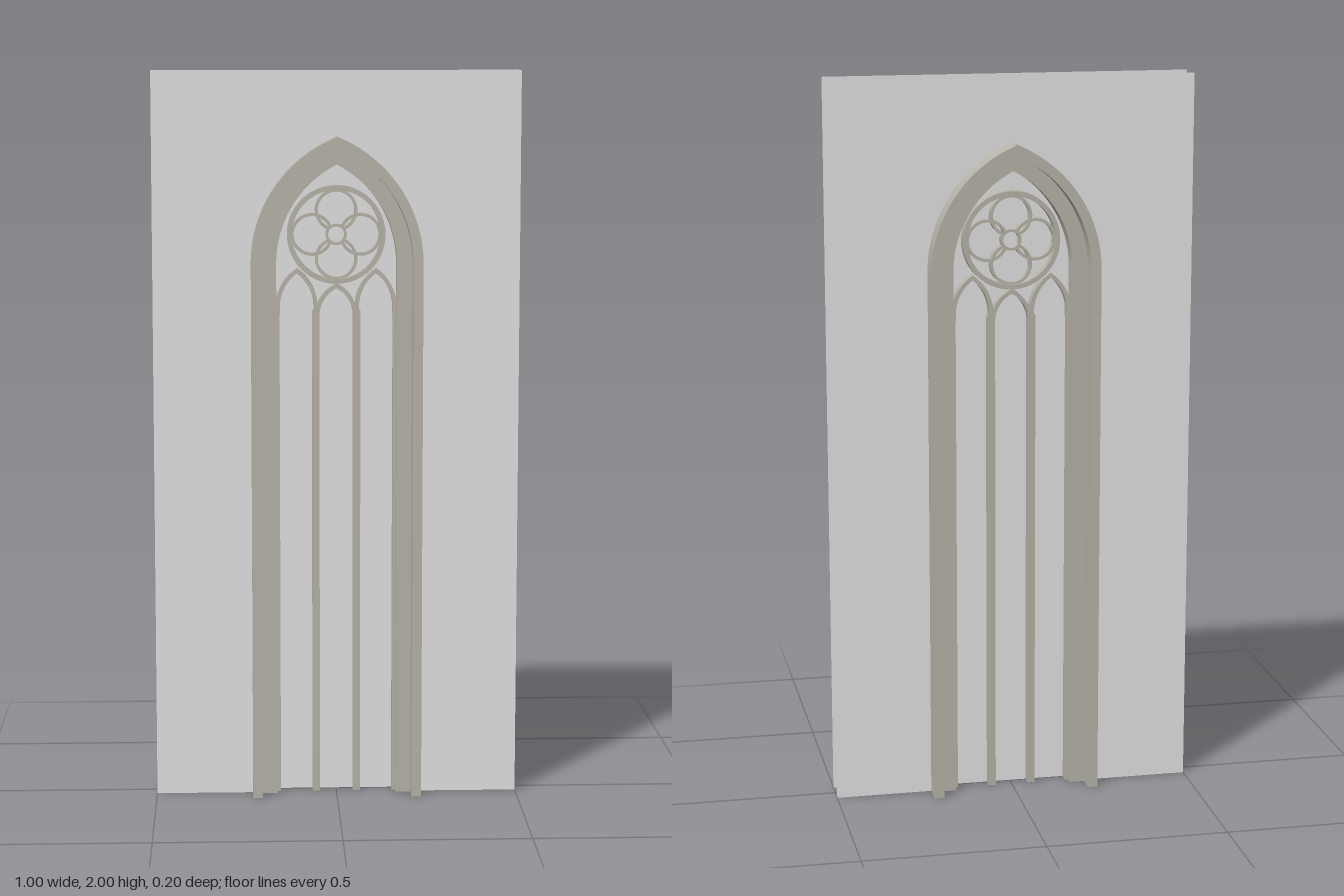
import * as THREE from 'three';
import { toCreasedNormals } from 'three/addons/utils/BufferGeometryUtils.js';

const stone = new THREE.MeshStandardMaterial({ color: 0xb9b5aa });
stone.name = 'stone';
const panel = new THREE.MeshStandardMaterial({ color: 0xe4e4e4, side: THREE.DoubleSide });
panel.name = 'panel grey';

const SPRING = 1.48; // height where the main arch begins to curve
const OFFSET = 0.136; // distance of the main arc centres from the axis

// Extrudes a shape symmetrically about z = 0, leaving it open at the ground
function slab(name, shape, halfDepth, segments = 20) {
  const g = new THREE.ExtrudeGeometry(shape, {
    depth: halfDepth * 2, bevelEnabled: false, curveSegments: segments,
  });
  g.translate(0, 0, -halfDepth);
  const p = g.getAttribute('position').array;
  const kept = [];
  for (let i = 0; i < p.length; i += 9) {
    if (Math.max(p[i + 1], p[i + 4], p[i + 7]) > 1e-6 || shape.closedFoot) kept.push(...p.slice(i, i + 9));
  }
  const open = new THREE.BufferGeometry();
  open.setAttribute('position', new THREE.Float32BufferAttribute(kept, 3));
  const mesh = new THREE.Mesh(toCreasedNormals(open, 0.5), stone);
  mesh.name = name;
  return mesh;
}

// Adds a pointed arch to a path, from the left foot over the apex to the right foot
function archOver(path, cx, w, off, base, spring) {
  const r = w + off;
  const a = Math.acos(off / r);
  path.lineTo(cx - w, base);
  path.lineTo(cx - w, spring);
  path.absarc(cx + off, spring, r, Math.PI, Math.PI - a, true);
  path.absarc(cx - off, spring, r, a, 0, true);
  path.lineTo(cx + w, base);
}

// The same from the right foot to the left foot
function archBack(path, cx, w, off, base, spring) {
  const r = w + off;
  const a = Math.acos(off / r);
  path.moveTo(cx + w, base);
  path.lineTo(cx + w, spring);
  path.absarc(cx - off, spring, r, 0, a, false);
  path.absarc(cx + off, spring, r, Math.PI - a, Math.PI, false);
  path.lineTo(cx - w, base);
}

// Band between two concentric pointed arches
function archBand(cx, w, thickness, off, base, spring) {
  const s = new THREE.Shape();
  archBack(s, cx, w, off, base, spring);
  archOver(s, cx, w - thickness, off, base, spring);
  return s;
}

function bar(x0, x1, top) {
  return new THREE.Shape([
    new THREE.Vector2(x0, 0), new THREE.Vector2(x1, 0),
    new THREE.Vector2(x1, top), new THREE.Vector2(x0, top),
  ]);
}

function ring(outer, inner) {
  const s = new THREE.Shape();
  s.absarc(0, 0, outer, 0, Math.PI * 2, false);
  const hole = new THREE.Path();
  hole.absarc(0, 0, inner, 0, Math.PI * 2, true);
  s.holes.push(hole);
  return s;
}

// Ring with a gap of 2 * gap radians, centred on the direction opposite to angle
function openRing(x, y, outer, inner, angle, gap) {
  const from = angle - Math.PI + gap;
  const to = angle + Math.PI - gap;
  const s = new THREE.Shape();
  s.absarc(x, y, outer, from, to, false);
  s.absarc(x, y, inner, to, from, true);
  return s;
}

function sheet(name, shape, z) {
  const mesh = new THREE.Mesh(new THREE.ShapeGeometry(shape, 20), panel);
  mesh.name = name;
  mesh.position.z = z;
  if (z < 0) mesh.rotation.y = Math.PI;
  return mesh;
}

export function createModel() {
  const model = new THREE.Group();
  model.name = 'gothicWindow';

  // Thin front and back wall faces, cut out inside the frame
  const wall = new THREE.Shape();
  wall.moveTo(-0.5, 0);
  archOver(wall, 0, 0.22, OFFSET, 0, SPRING);
  wall.lineTo(0.5, 0);
  wall.lineTo(0.5, 2);
  wall.lineTo(-0.5, 2);
  model.add(sheet('frontWall', wall, 0.04), sheet('backWall', wall, -0.04));

  // Pane in the middle of the opening
  const pane = new THREE.Shape();
  archBack(pane, 0, 0.18, OFFSET, 0, SPRING);
  model.add(sheet('pane', pane, 0));

  // Stepped frame
  model.add(slab('outerFrame', archBand(0, 0.233, 0.027, OFFSET, 0, SPRING), 0.1));
  model.add(slab('innerFrame', archBand(0, 0.206, 0.042, OFFSET, 0, SPRING), 0.05));

  // Mullions, with half mullions against the frame
  for (const [side, s] of [['left', 1], ['right', -1]]) {
    const upright = (name, a, b, top) =>
      model.add(slab(side + name, bar(Math.min(a * s, b * s), Math.max(a * s, b * s), top), 0.03));
    upright('Mullion', 0.046, 0.066, 1.35);
    upright('HalfMullion', 0.155, 0.164, 1.38);
    model.add(slab(side + 'LightArch', archBand(0.108 * s, 0.057, 0.011, 0.068, 1.34, 1.36), 0.029, 10));
  }
  model.add(slab('centreLightArch', archBand(0, 0.057, 0.011, 0.04, 1.33, 1.335), 0.029, 10));

  // Rose: four overlapping lobes that stop at a small round eye
  const rose = new THREE.Group();
  rose.name = 'rose';
  rose.position.y = 1.557;
  rose.add(slab('roseRim', closed(ring(0.134, 0.121)), 0.03, 32));
  rose.add(slab('roseEye', closed(ring(0.029, 0.022)), 0.022));
  for (let i = 0; i < 4; i++) {
    const a = (i * Math.PI) / 2;
    const lobe = openRing(0.066 * Math.cos(a), 0.066 * Math.sin(a), 0.058, 0.05, a, 0.42);
    rose.add(slab('roseLobe', closed(lobe), 0.022 + 0.0005 * (i % 2)));
  }
  model.add(rose);

  return model;
}

// Marks a shape that keeps all its faces
function closed(shape) {
  shape.closedFoot = true;
  return shape;
}
